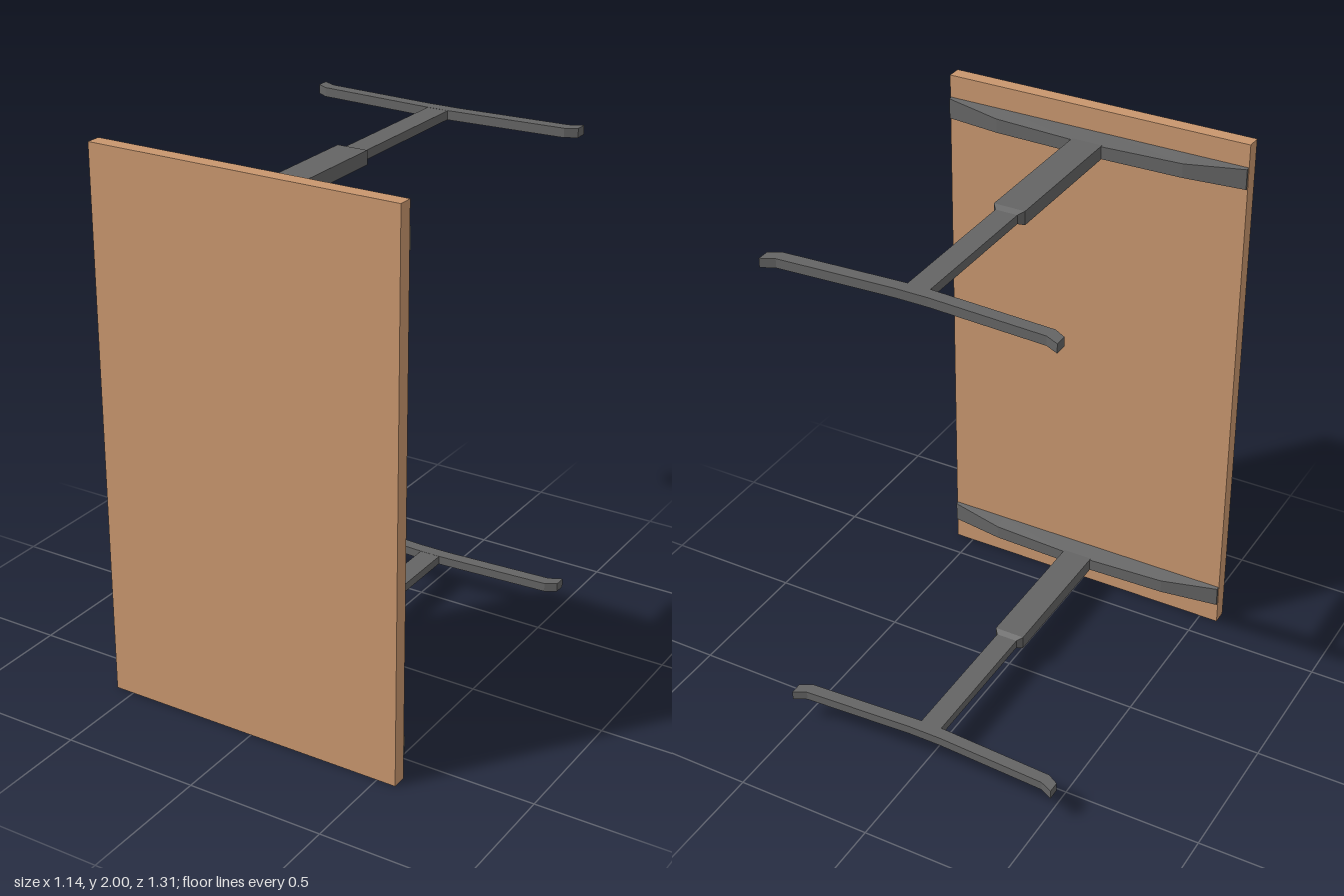
import * as THREE from 'three';

const LEG_HEIGHTS = [0.123, 1.877];

// Skin a run of rings; each ring runs anticlockwise seen from the far end.
function loft(rings) {
  const pos = [];
  const tri = (a, b, c) => pos.push(...a, ...b, ...c);
  const n = rings[0].length;
  for (let s = 0; s < rings.length - 1; s++) {
    const p = rings[s], q = rings[s + 1];
    for (let i = 0; i < n; i++) {
      const j = (i + 1) % n;
      tri(p[i], p[j], q[j]);
      tri(p[i], q[j], q[i]);
    }
  }
  const first = rings[0], last = rings[rings.length - 1];
  for (let i = 1; i < n - 1; i++) {
    tri(first[0], first[i + 1], first[i]);
    tri(last[0], last[i], last[i + 1]);
  }
  const geo = new THREE.BufferGeometry();
  geo.setAttribute('position', new THREE.Float32BufferAttribute(pos, 3));
  geo.computeVertexNormals();
  return geo;
}

// Telescoping column: narrow at the foot, stepping up to a wider sleeve
function columnGeometry() {
  const sections = [
    [-0.58, 0.04, 0.016], [-0.02, 0.04, 0.016],
    [0, 0.057, 0.025], [0.545, 0.057, 0.025],
  ];
  return loft(sections.map(([z, x, y]) => [[-x, -y, z], [x, -y, z], [x, y, z], [-x, y, z]]));
}

// Support under the top: deep in the middle, thin at both ends
function bracketGeometry() {
  const half = [[0.06, 0.535, 0.023], [0.355, 0.547, 0.026], [0.568, 0.59, 0.037]];
  const sections = [...half.map(([x, z, y]) => [-x, z, y]).reverse(), ...half];
  return loft(sections.map(([x, z, y]) => [[x, -y, z], [x, y, z], [x, 0.04, 0.6], [x, -0.04, 0.6]]));
}

// Foot bar with swept arms and bent tips, drawn in x / z and extruded along y
function footGeometry() {
  const half = [
    [0.04, -0.56], [0.478, -0.584], [0.519, -0.608],
    [0.519, -0.652], [0.472, -0.629], [0.06, -0.607],
  ];
  const outline = [...half, ...half.map(([x, z]) => [-x, z]).reverse()];
  const shape = new THREE.Shape(outline.map(([x, z]) => new THREE.Vector2(x, -z)));
  const h = 0.0165;
  return new THREE.ExtrudeGeometry(shape, { depth: 2 * h, bevelEnabled: false })
    .translate(0, 0, -h)
    .rotateX(-Math.PI / 2);
}

export function createModel() {
  const wood = new THREE.MeshStandardMaterial({ name: 'wood', color: 0xc8966e });
  const metal = new THREE.MeshStandardMaterial({ name: 'dark grey metal', color: 0x646464 });

  const model = new THREE.Group();
  model.name = 'table';
  const add = (parent, name, geometry, material) => {
    const mesh = new THREE.Mesh(geometry, material);
    mesh.name = name;
    parent.add(mesh);
    return mesh;
  };

  // Table top, standing on its short edge
  add(model, 'tableTop', new THREE.BoxGeometry(1.14, 2, 0.053), wood).position.set(0, 1, 0.6265);

  // Two identical T-shaped legs
  const parts = { column: columnGeometry(), bracket: bracketGeometry(), foot: footGeometry() };
  LEG_HEIGHTS.forEach((y, i) => {
    const leg = new THREE.Group();
    leg.name = i === 0 ? 'lowerLeg' : 'upperLeg';
    leg.position.y = y;
    for (const [name, geometry] of Object.entries(parts)) add(leg, name, geometry, metal);
    model.add(leg);
  });

  return model;
}
